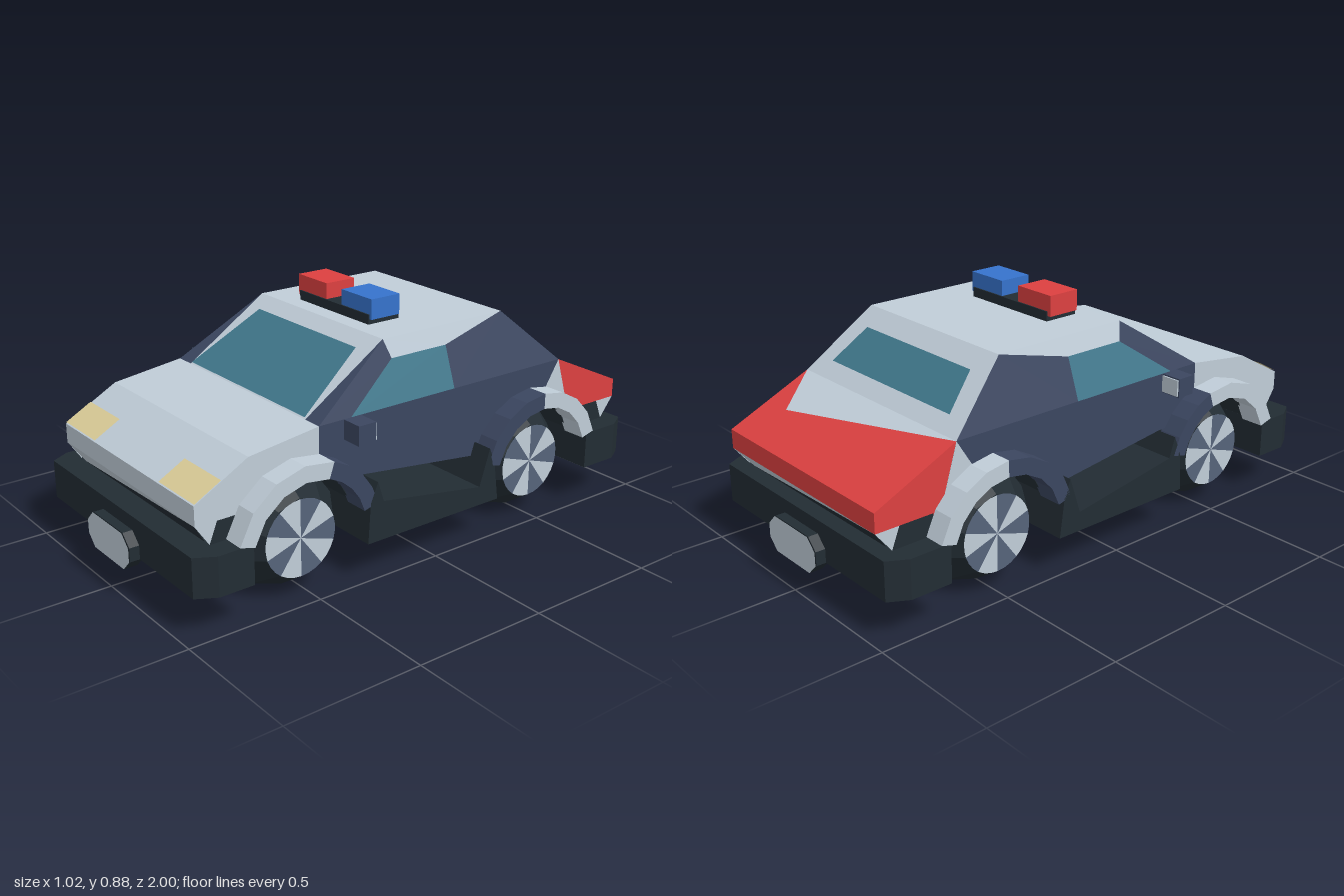
import * as THREE from 'three';

const paint = (name, color) => {
  const m = new THREE.MeshStandardMaterial({ color, side: THREE.DoubleSide });
  m.name = name;
  return m;
};

export function createModel() {
  const car = new THREE.Group();
  car.name = 'patrolCar';
  const silver = paint('silver', 0xc0cdd8), slate = paint('slate', 0x3b4660);
  const black = paint('black', 0x222c33), red = paint('red', 0xdc4040);
  const blue = paint('blue', 0x3673cc), glass = paint('glass', 0x40788c);
  const lamp = paint('lampYellow', 0xdccd98), hubGrey = paint('hubGrey', 0x56637a);

  const add = (name, geometry, material) => {
    const g = geometry.index ? geometry.toNonIndexed() : geometry;
    g.computeVertexNormals();
    const mesh = new THREE.Mesh(g, material);
    mesh.name = name;
    car.add(mesh);
    return mesh;
  };
  const shapeOf = pts => new THREE.Shape(pts.map(p => new THREE.Vector2(...p)));

  // Flat panel: 2D outline mapped into space, wound to face away from the car's core
  const panel = (name, pts, map, material) => {
    const g = new THREE.ShapeGeometry(shapeOf(pts));
    const p = g.attributes.position, c = new THREE.Vector3();
    for (let i = 0; i < p.count; i++) {
      const v = new THREE.Vector3(...map(p.getX(i), p.getY(i)));
      p.setXYZ(i, v.x, v.y, v.z);
      c.addScaledVector(v, 1 / p.count);
    }
    g.computeVertexNormals();
    const n = new THREE.Vector3().fromBufferAttribute(g.attributes.normal, 0);
    if (n.dot(c.sub(new THREE.Vector3(0, 0.35, c.z * 0.7))) < 0) g.index.array.reverse();
    return add(name, g, material);
  };
  // Solid whose side outline (z, y) is extruded from x0 to x1
  const sideSolid = (name, pts, x0, x1, material) => {
    const g = new THREE.ExtrudeGeometry(shapeOf(pts.map(([z, y]) => [-z, y])), { depth: x1 - x0, bevelEnabled: false });
    g.rotateY(Math.PI / 2).translate(x0, 0, 0);
    return add(name, g, material);
  };
  // Solid whose plan outline (x, z) is extruded from y0 to y1
  const planSolid = (name, pts, y0, y1, material) => {
    const g = new THREE.ExtrudeGeometry(shapeOf(pts.map(([x, z]) => [x, -z])), { depth: y1 - y0, bevelEnabled: false });
    g.rotateX(-Math.PI / 2).translate(0, y0, 0);
    return add(name, g, material);
  };
  const box = (name, x0, x1, y0, y1, z0, z1, material) => {
    const g = new THREE.BoxGeometry(x1 - x0, y1 - y0, z1 - z0);
    g.translate((x0 + x1) / 2, (y0 + y1) / 2, (z0 + z1) / 2);
    return add(name, g, material);
  };
  // Points around a wheel centre, angle in degrees from the front
  const axleY = 0.215, frontZ = 0.54, rearZ = -0.5;
  const arc = (cz, r, a0, a1, n = 6) => Array.from({ length: n + 1 }, (_, i) => {
    const a = THREE.MathUtils.degToRad(a0 + (a1 - a0) * i / n);
    return [cz + r * Math.cos(a), axleY + r * Math.sin(a)];
  });

  // Upper surface: profile heights along the length
  const profile = [[0.92, 0.43], [0.72, 0.54], [0.45, 0.575], [0.13, 0.785], [-0.41, 0.785], [-0.645, 0.575], [-0.96, 0.43]];
  const topY = z => {
    let i = 0;
    while (i < profile.length - 2 && z < profile[i + 1][0]) i++;
    const [z0, y0] = profile[i], [z1, y1] = profile[i + 1];
    return y0 + (y1 - y0) * (z - z0) / (z1 - z0);
  };
  const onTop = (lift = 0) => (x, z) => [x, topY(z) + lift, z];
  const strip = (name, z0, w0, z1, w1, material, lift) =>
    panel(name, [[-w0, z0], [w0, z0], [w1, z1], [-w1, z1]], onTop(lift), material);
  strip('hoodFront', 0.92, 0.43, 0.72, 0.43, silver);
  strip('hoodRear', 0.72, 0.43, 0.45, 0.43, silver);
  strip('windshieldFrame', 0.45, 0.355, 0.13, 0.355, silver);
  strip('windshield', 0.448, 0.35, 0.19, 0.287, glass, 0.005);
  strip('roof', 0.13, 0.355, -0.41, 0.355, silver);
  strip('rearWindowFrame', -0.41, 0.355, -0.645, 0.43, silver);
  strip('rearWindow', -0.475, 0.29, -0.597, 0.335, glass, 0.005);
  panel('trunkSilver', [[-0.43, -0.645], [0.43, -0.645], [0.31, -0.81]], onTop(), silver);
  panel('trunkRed', [[-0.43, -0.645], [0.31, -0.81], [0.43, -0.645], [0.43, -0.96], [-0.43, -0.96]], onTop(), red);

  // Nose, tail and the two-tone skirts below them
  const endPanel = (name, z, material) =>
    panel(name, [[-0.43, 0.36], [0.43, 0.36], [0.43, 0.43], [-0.43, 0.43]], (x, y) => [x, y, z], material);
  endPanel('nose', 0.92, silver);
  endPanel('tail', -0.96, red);
  for (const [end, s, z0, z1] of [['front', -1, 0.92, 0.87], ['rear', 1, -0.96, -0.9]]) {
    const slope = (x, y) => [x, y, z1 + (z0 - z1) * (y - 0.285) / 0.075];
    panel(end + 'SkirtSilver', [[-s * 0.43, 0.36], [s * 0.43, 0.36], [s * 0.4, 0.285]], slope, silver);
    panel(end + 'SkirtBlack', [[-s * 0.43, 0.36], [s * 0.4, 0.285], [-s * 0.4, 0.285]], slope, black);
  }

  for (const s of [1, -1]) {
    const side = s > 0 ? 'left' : 'right';
    const flat = (z, y) => [s * 0.43, y, z];
    const lean = (z, y) => [s * (0.43 - (y - 0.575) / 0.21 * 0.075), y, z];

    // Lower side panels
    panel(side + 'FrontFender', [[0.92, 0.36], [0.92, 0.43], [0.72, 0.54], [0.45, 0.575], ...arc(frontZ, 0.25, 111, 35)], flat, silver);
    panel(side + 'Door', [[0.45, 0.575], [-0.645, 0.575], ...arc(rearZ, 0.25, 106, 36), [-0.22, 0.3], [0.27, 0.36],
      ...arc(frontZ, 0.25, 144, 111, 3)], flat, slate);
    panel(side + 'RearFender', [[-0.645, 0.575], ...arc(rearZ, 0.25, 106, 150, 4)], flat, silver);
    panel(side + 'TailCorner', [[-0.645, 0.575], [-0.717, 0.34], [-0.75, 0.36], [-0.96, 0.36], [-0.96, 0.43]], flat, red);
    for (const [z0, z1, z2, z3] of [[0.92, 0.87, 0.84, 0.77], [-0.96, -0.9, -0.87, -0.74]]) {
      panel(side + 'SkirtEnd', [[z0, 0.36], [z1, 0.285], [z2, 0.36]], flat, silver);
      panel(side + 'SkirtEndBlack', [[z2, 0.36], [z1, 0.285], [z3, 0.285], [z3, 0.36]], flat, black);
    }

    // Cabin sides
    panel(side + 'FrontPillar', [[0.45, 0.575], [0.13, 0.785], [0.11, 0.72], [0.32, 0.575]], lean, slate);
    panel(side + 'RoofRail', [[0.13, 0.785], [-0.41, 0.785], [-0.13, 0.72], [0.11, 0.72]], lean, silver);
    panel(side + 'SideWindow', [[0.32, 0.575], [0.11, 0.72], [-0.13, 0.72], [-0.13, 0.575]], lean, glass);
    panel(side + 'RearPillar', [[-0.13, 0.575], [-0.13, 0.72], [-0.41, 0.785], [-0.645, 0.575]], lean, slate);
    panel(side + 'WindshieldCorner', [[0.43, 0.45], [0.355, 0.45], [0.355, 0.13]], (x, z) => [s * x, topY(z), z], slate);

    // Headlight and mirror
    panel(side + 'Headlight', [[0.215, 0.918], [0.43, 0.918], [0.43, 0.82], [0.215, 0.82]],
      (x, z) => [s * x, topY(z) + 0.004, z], lamp);
    const mx = [s * 0.43, s * 0.51].sort((a, b) => a - b);
    box(side + 'Mirror', ...mx, 0.505, 0.575, 0.28, 0.35, slate);
    box(side + 'MirrorGlass', mx[0] + 0.004, mx[1] - 0.004, 0.51, 0.57, 0.274, 0.28, silver);

    // Wheel arches, wells and wheels
    for (const [end, cz, split, ahead, behind] of [['Front', frontZ, 109, silver, slate], ['Rear', rearZ, 90, slate, silver]]) {
      const x0 = s > 0 ? 0.42 : -0.51;
      for (const [a0, a1, mat] of [[15, split, ahead], [split, 165, behind]])
        sideSolid(side + end + 'Arch', [...arc(cz, 0.28, a0, a1, 4), ...arc(cz, 0.222, a1, a0, 4)], x0, x0 + 0.09, mat);
      const wx = s > 0 ? 0.2 : -0.43;
      sideSolid(side + end + 'Well', [...arc(cz, 0.235, 20, 160, 7), ...arc(cz, 0.222, 160, 20, 7)], wx, wx + 0.23, black);
      panel(side + end + 'WellWall', arc(cz, 0.23, 0, 180, 8), (z, y) => [s * 0.205, y, z], black);

      const tyre = new THREE.LatheGeometry([[0, -0.112], [0.14, -0.112], [0.215, 0], [0.14, 0.112], [0, 0.112]]
        .map(p => new THREE.Vector2(...p)), 10);
      tyre.rotateZ(Math.PI / 2).rotateX(Math.PI / 2).translate(s * 0.333, axleY, cz);
      add(side + end + 'Tyre', tyre, black);
      for (let i = 0; i < 10; i++) {
        const wedge = new THREE.CircleGeometry(0.138, 1, Math.PI / 2 + i * Math.PI / 5, Math.PI / 5);
        wedge.rotateY(s * Math.PI / 2).translate(s * 0.449, axleY, cz);
        add(side + end + 'HubWedge', wedge, i % 2 ? hubGrey : silver);
      }
    }

    // Sill between the wheels, with horns rising behind the arches
    const px = s > 0 ? 0.21 : -0.51;
    sideSolid(side + 'Sill', [[0.31, 0.145], [0.3, 0.29], [0.27, 0.36], [0.245, 0.285], [-0.19, 0.215],
      [-0.235, 0.35], [-0.26, 0.29], [-0.28, 0.145]], px, px + 0.3, black);
  }

  // Chassis floor and bumpers with cut corners
  box('floor', -0.22, 0.22, 0.145, 0.215, -0.75, 0.78, black);
  for (const [end, d, inner] of [['front', 1, 0.76], ['rear', -1, 0.735]]) {
    planSolid(end + 'Bumper', [[-0.51, inner], [0.51, inner], [0.51, 0.89], [0.47, 0.96], [-0.47, 0.96], [-0.51, 0.89]]
      .map(([x, z]) => [x, d * z]), 0.145, 0.285, black);
    // Eight-sided plate on a dark mount
    const oct = [[-0.1, 0.235], [0.1, 0.235], [0.14, 0.195], [0.14, 0.145], [0.1, 0.105], [-0.1, 0.105], [-0.14, 0.145], [-0.14, 0.195]];
    const mount = new THREE.ExtrudeGeometry(shapeOf(oct), { depth: 0.046, bevelEnabled: false });
    mount.translate(0, 0, d > 0 ? 0.95 : -0.996);
    add(end + 'PlateMount', mount, black);
    panel(end + 'Plate', oct, (x, y) => [x, y, d], silver);
  }

  // Roof light bar
  box('lightBarBase', -0.2, 0.2, 0.785, 0.82, -0.067, 0.067, black);
  box('redBeacon', -0.213, -0.045, 0.803, 0.878, -0.062, 0.062, red);
  box('blueBeacon', 0.043, 0.21, 0.803, 0.876, -0.062, 0.062, blue);
  return car;
}
